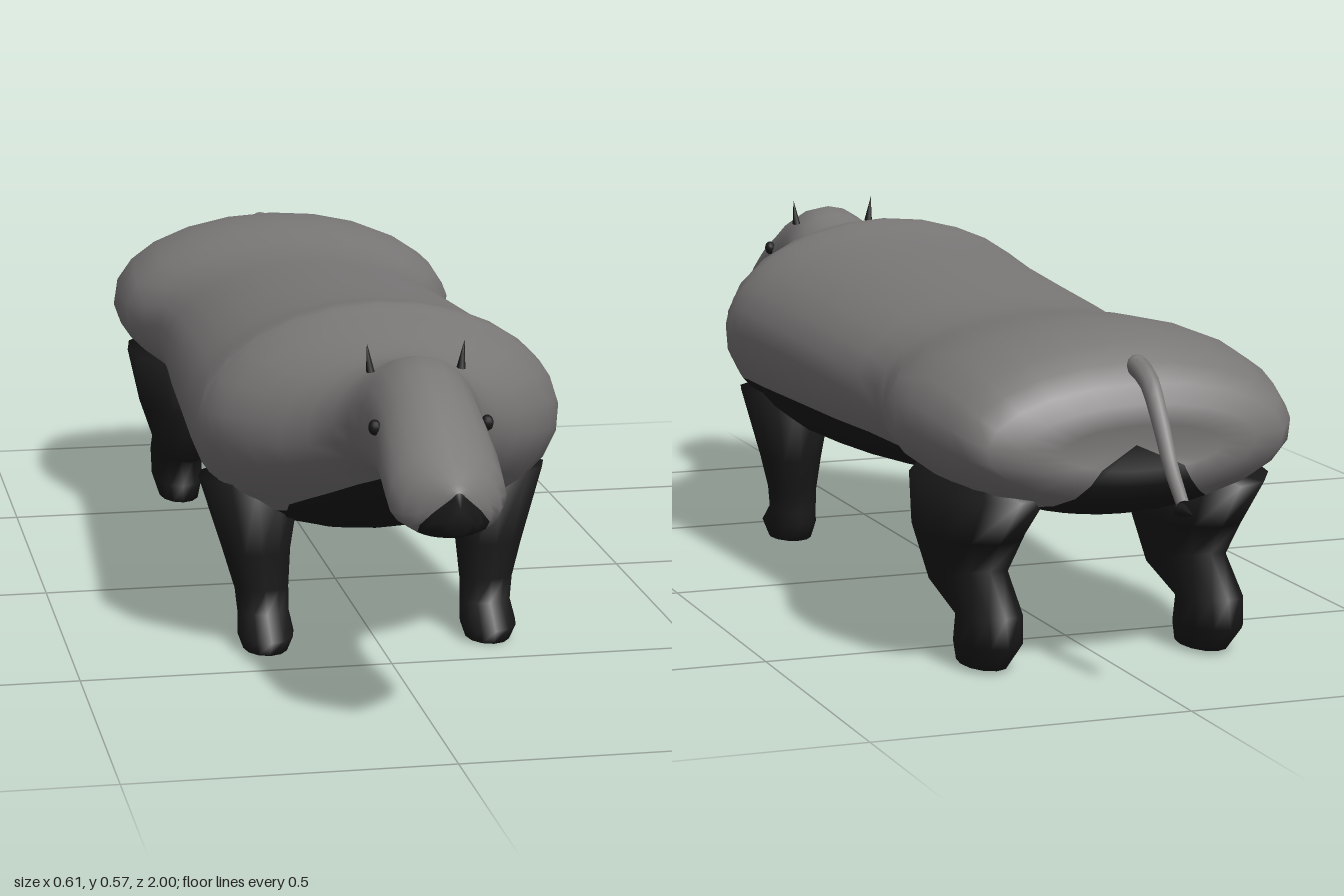
import * as THREE from 'three';

const grey = new THREE.MeshStandardMaterial({ color: 0x7a7777 });
grey.name = 'grey fur';
const black = new THREE.MeshStandardMaterial({ color: 0x1a1a1a });
black.name = 'black fur';

// Joins closed rings of points into a smooth skin with end caps.
// Columns up to splitColumn go to material group 0, the others to group 1.
function loft(rings, splitColumn, frontTip, backTip, tipGroup = 0) {
  const n = rings[0].length;
  const points = [...rings.flat(), frontTip, backTip];
  const faces = [[], []];
  const first = rings.length * n, last = first + 1;
  for (let j = 0; j < n; j++) {
    const k = (j + 1) % n;
    const side = faces[j < splitColumn ? 0 : 1];
    for (let i = 0; i < rings.length - 1; i++) {
      const p = i * n + j, q = i * n + k, r = p + n, s = q + n;
      side.push(p, r, q, q, r, s);
    }
    faces[tipGroup].push(first, j, k);
    const b = (rings.length - 1) * n;
    side.push(last, b + k, b + j);
  }
  const geo = new THREE.BufferGeometry().setFromPoints(points);
  geo.setIndex([...faces[0], ...faces[1]]);
  geo.addGroup(0, faces[0].length, 0);
  geo.addGroup(faces[0].length, faces[1].length, 1);
  geo.computeVertexNormals();
  return geo;
}

// Body stations, nose to rump: z, top, bottom, half width, height of widest point, colour line
const stations = [
  [0.99, 0.408, 0.345, 0.018, 0.365, 0.402],
  [0.96, 0.428, 0.333, 0.055, 0.365, 0.355],
  [0.91, 0.458, 0.326, 0.089, 0.378, 0.33],
  [0.80, 0.52, 0.335, 0.087, 0.43, 0.337],
  [0.70, 0.548, 0.347, 0.093, 0.44, 0.35],
  [0.62, 0.525, 0.333, 0.12, 0.425, 0.338],
  [0.55, 0.528, 0.28, 0.19, 0.39, 0.3],
  [0.46, 0.547, 0.23, 0.265, 0.38, 0.26],
  [0.40, 0.559, 0.202, 0.29, 0.375, 0.235],
  [0.36, 0.564, 0.187, 0.299, 0.37, 0.293],
  [0.23, 0.543, 0.168, 0.292, 0.37, 0.298],
  [-0.10, 0.522, 0.195, 0.272, 0.365, 0.297],
  [-0.33, 0.507, 0.228, 0.262, 0.365, 0.293],
  [-0.48, 0.52, 0.235, 0.298, 0.375, 0.252],
  [-0.60, 0.526, 0.235, 0.304, 0.375, 0.272],
  [-0.72, 0.507, 0.242, 0.28, 0.375, 0.262],
  [-0.79, 0.455, 0.277, 0.243, 0.365, 0.285],
  [-0.812, 0.395, 0.325, 0.13, 0.36, 0.33],
];
const UPPER = 18, LOWER = 10;

function bodyRing({ x: z, y: top, z: bottom }, { x: width, y: mid, z: line }) {
  const ring = [];
  const up = top - mid, down = mid - bottom;
  const a = Math.asin(THREE.MathUtils.clamp((line - mid) / (line > mid ? up : down), -0.98, 0.98));
  for (let j = 0; j < UPPER + LOWER; j++) {
    const t = j < UPPER
      ? a + (Math.PI - 2 * a) * j / UPPER
      : Math.PI - a + (Math.PI + 2 * a) * (j - UPPER) / LOWER;
    const s = Math.sin(t);
    ring.push(new THREE.Vector3(width * Math.cos(t), mid + s * (s > 0 ? up : down), z));
  }
  return ring;
}

// Smooths the stations with splines, giving two rings per station
function makeBody() {
  const spline = (from) => new THREE.CatmullRomCurve3(
    stations.map((s) => new THREE.Vector3(...s.slice(from, from + 3))), false, 'catmullrom');
  const steps = (stations.length - 1) * 2;
  const heights = spline(0).getPoints(steps), sides = spline(3).getPoints(steps);
  return loft(heights.map((h, i) => bodyRing(h, sides[i])), UPPER,
    new THREE.Vector3(0, 0.385, 1), new THREE.Vector3(0, 0.36, -0.785), 1);
}

// Leg stations, hip to sole: front edge (y, z), back edge (y, z), centre x, half width
const frontLegStations = [
  [0.28, 0.41, 0.28, 0.25, 0.20, 0.085],
  [0.16, 0.40, 0.15, 0.28, 0.192, 0.055],
  [0.10, 0.395, 0.09, 0.305, 0.186, 0.044],
  [0.06, 0.395, 0.05, 0.312, 0.184, 0.042],
  [0.025, 0.44, 0.03, 0.31, 0.184, 0.046],
  [0.0, 0.425, 0.0, 0.32, 0.184, 0.036],
];
const hindLegStations = [
  [0.29, -0.42, 0.28, -0.77, 0.18, 0.10],
  [0.20, -0.415, 0.20, -0.69, 0.185, 0.08],
  [0.10, -0.455, 0.15, -0.65, 0.185, 0.055],
  [0.075, -0.57, 0.09, -0.72, 0.185, 0.048],
  [0.03, -0.55, 0.045, -0.73, 0.185, 0.047],
  [0.0, -0.55, 0.0, -0.68, 0.185, 0.036],
];

function makeLeg(list, side) {
  const rings = list.map(([fy, fz, by, bz, x, r]) => {
    const ring = [];
    for (let j = 0; j < 12; j++) {
      const t = j / 12 * Math.PI * 2, m = (1 + Math.sin(t)) / 2;
      ring.push(new THREE.Vector3(side * x + r * Math.cos(t),
        THREE.MathUtils.lerp(fy, by, m), THREE.MathUtils.lerp(fz, bz, m)));
    }
    return ring;
  });
  const middle = ([fy, fz, by, bz, x]) => new THREE.Vector3(side * x, (fy + by) / 2, (fz + bz) / 2);
  const geo = loft(rings, 12, middle(list[0]), middle(list[list.length - 1]));
  geo.clearGroups();
  return geo;
}

export function createModel() {
  const group = new THREE.Group();
  const add = (name, geo, mat) => {
    const mesh = new THREE.Mesh(geo, mat);
    mesh.name = name;
    group.add(mesh);
    return mesh;
  };

  // Head and body in one skin, with a black nose and belly
  add('body', makeBody(), [grey, black]);

  for (const side of [1, -1]) {
    const label = side > 0 ? 'left' : 'right';
    add(label + 'FrontLeg', makeLeg(frontLegStations, side), black);
    add(label + 'HindLeg', makeLeg(hindLegStations, side), black);

    // Small dark eyes and pointed ears
    const eye = add(label + 'Eye', new THREE.SphereGeometry(0.012, 10, 8), black);
    eye.position.set(side * 0.086, 0.462, 0.79);
    eye.scale.set(0.8, 1, 1);
    const ear = add(label + 'Ear', new THREE.ConeGeometry(0.011, 0.045, 6), black);
    ear.position.set(side * 0.073, 0.543, 0.675);
    ear.rotation.z = -side * 0.12;
    ear.scale.x = 0.6;
  }

  // Thin hanging tail, tapered along its length
  const path = new THREE.CatmullRomCurve3([
    [0.482, -0.785], [0.465, -0.83], [0.41, -0.875], [0.35, -0.915], [0.303, -0.96],
  ].map(([y, z]) => new THREE.Vector3(0, y, z)));
  const tail = new THREE.TubeGeometry(path, 10, 0.017, 8);
  const p = tail.attributes.position;
  for (let i = 0; i < p.count; i++) {
    const u = Math.floor(i / 9) / 10, c = path.getPointAt(u);
    const v = new THREE.Vector3().fromBufferAttribute(p, i).sub(c).multiplyScalar(1 - 0.4 * u).add(c);
    p.setXYZ(i, v.x, v.y, v.z);
  }
  add('tail', tail, grey);
  const root = add('tailRoot', new THREE.SphereGeometry(0.017, 8, 6), grey);
  root.position.set(0, 0.482, -0.785);
  const tip = add('tailTip', new THREE.ConeGeometry(0.011, 0.05, 8), black);
  tip.position.set(0, 0.293, -0.975);
  tip.rotation.x = -Math.PI / 2;

  return group;
}
